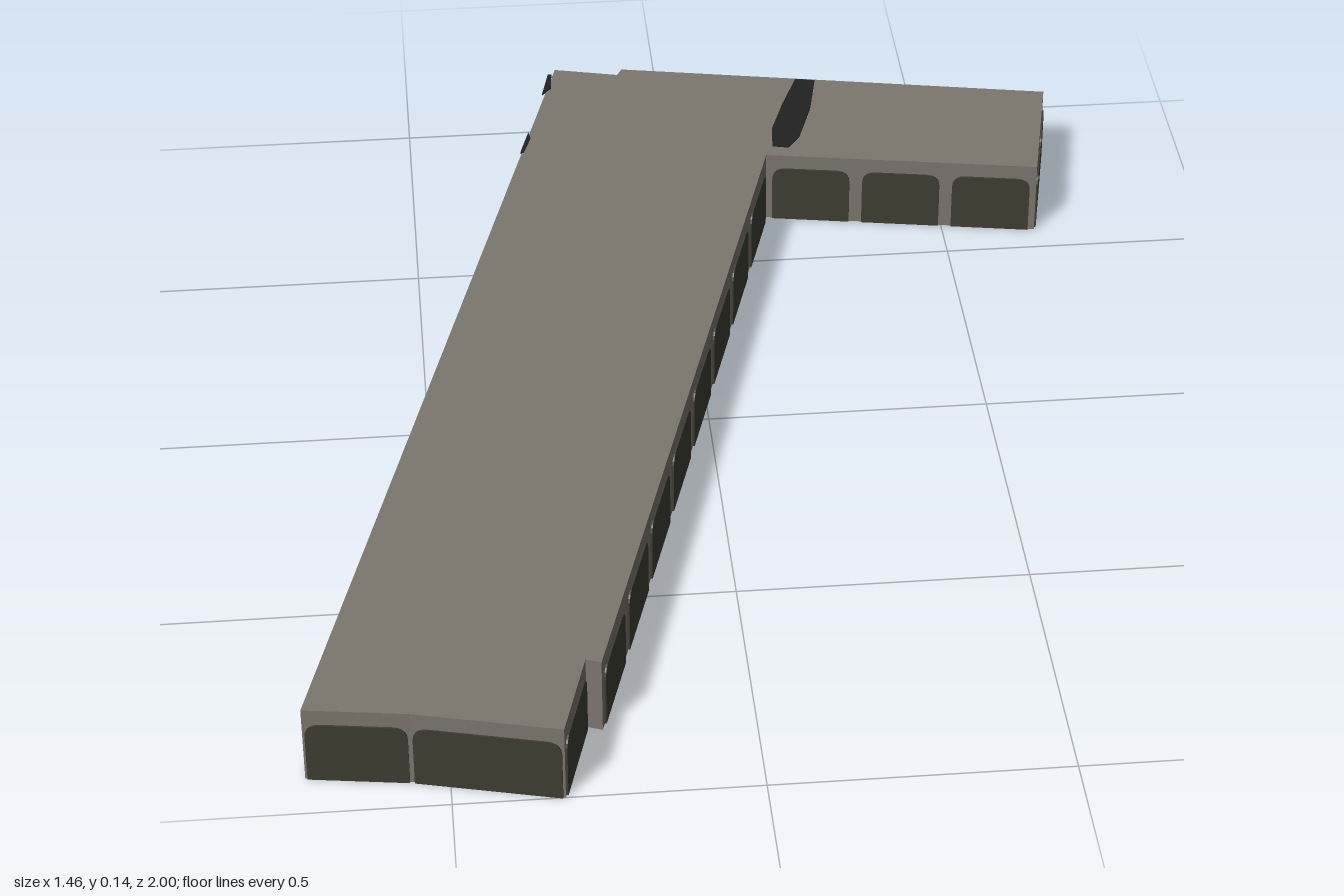
import * as THREE from 'three';

const HEIGHT = 0.14;
const PANEL_TOP = 0.112;

const mat = (name, color) => {
  const m = new THREE.MeshStandardMaterial({ color, side: THREE.DoubleSide });
  m.name = name;
  return m;
};

// Plan corners [x, z] and the number of panels and gap width of the wall starting there
const PLAN = [
  [-0.21, -1.0, 1, 0.01],
  [-0.09, -0.97, 0, 0],
  [-0.08, -0.99, 4, 0.024],
  [0.73, -0.83, 2, 0.016],
  [0.675, -0.56, 3, 0.024],
  [0.17, -0.65, 8, 0.034],
  [-0.25, 0.84, 0, 0],
  [-0.275, 0.83, 1, 0.012],
  [-0.32, 1.0, 1, 0.008],
  [-0.56, 0.94, 1, 0.008],
  [-0.73, 0.915, 10, 0.034],
];

const planShape = (pts) => new THREE.Shape(pts.map(([x, z]) => new THREE.Vector2(x, -z)));

// Opening with a flat foot and rounded upper corners
function panelGeometry(w) {
  const r = 0.025, h = PANEL_TOP, t = 0.006;
  const s = new THREE.Shape();
  s.moveTo(-w / 2, 0);
  s.lineTo(w / 2, 0);
  s.lineTo(w / 2, h - r);
  s.quadraticCurveTo(w / 2, h, w / 2 - r, h);
  s.lineTo(-w / 2 + r, h);
  s.quadraticCurveTo(-w / 2, h, -w / 2, h - r);
  s.closePath();
  return new THREE.ExtrudeGeometry(s, { depth: t, bevelEnabled: false, curveSegments: 5 })
    .translate(0, 0, -t / 2);
}

export function createModel() {
  const group = new THREE.Group();
  group.name = 'lShapedBuilding';
  const stone = mat('warmGreyStone', 0x7c766e);
  const dark = mat('darkOlivePanel', 0x3f3e33);
  const black = mat('sootBlack', 0x222222);

  const add = (parent, name, geometry, material) => {
    const mesh = new THREE.Mesh(geometry, material);
    mesh.name = name;
    parent.add(mesh);
    return mesh;
  };

  // Flat roof
  add(group, 'roof', new THREE.ShapeGeometry(planShape(PLAN)).rotateX(-Math.PI / 2), stone)
    .position.y = HEIGHT;

  // Walls with their rows of panels, open underneath
  PLAN.forEach(([x, z, count, gap], i) => {
    const [x2, z2] = PLAN[(i + 1) % PLAN.length];
    const length = Math.hypot(x2 - x, z2 - z);
    const side = new THREE.Group();
    side.name = 'side' + (i + 1);
    side.position.set((x + x2) / 2, 0, (z + z2) / 2);
    side.rotation.y = Math.atan2(z2 - z, x - x2); // outer face along local +z
    group.add(side);
    add(side, 'wall', new THREE.PlaneGeometry(length, HEIGHT).translate(0, HEIGHT / 2, 0), stone);
    const pitch = length / count;
    for (let k = 0; k < count; k++) {
      add(side, 'panel', panelGeometry(pitch - gap), dark)
        .position.x = -length / 2 + (k + 0.5) * pitch;
    }
  });

  // Dark marks on the roof
  const marks = [
    [[0.255, -0.92], [0.292, -0.912], [0.272, -0.81], [0.24, -0.71], [0.215, -0.672],
      [0.185, -0.68], [0.19, -0.74], [0.22, -0.83]],
    [[-0.225, -0.98], [-0.218, -0.98], [-0.222, -0.93], [-0.24, -0.91]],
    [[-0.275, -0.77], [-0.272, -0.75], [-0.288, -0.7], [-0.294, -0.7]],
  ];
  for (const pts of marks) {
    const plate = new THREE.ExtrudeGeometry(planShape(pts), { depth: 0.004, bevelEnabled: false });
    plate.rotateX(-Math.PI / 2).translate(0, HEIGHT - 0.002, 0);
    add(group, 'roofMark', plate, black);
  }
  return group;
}
